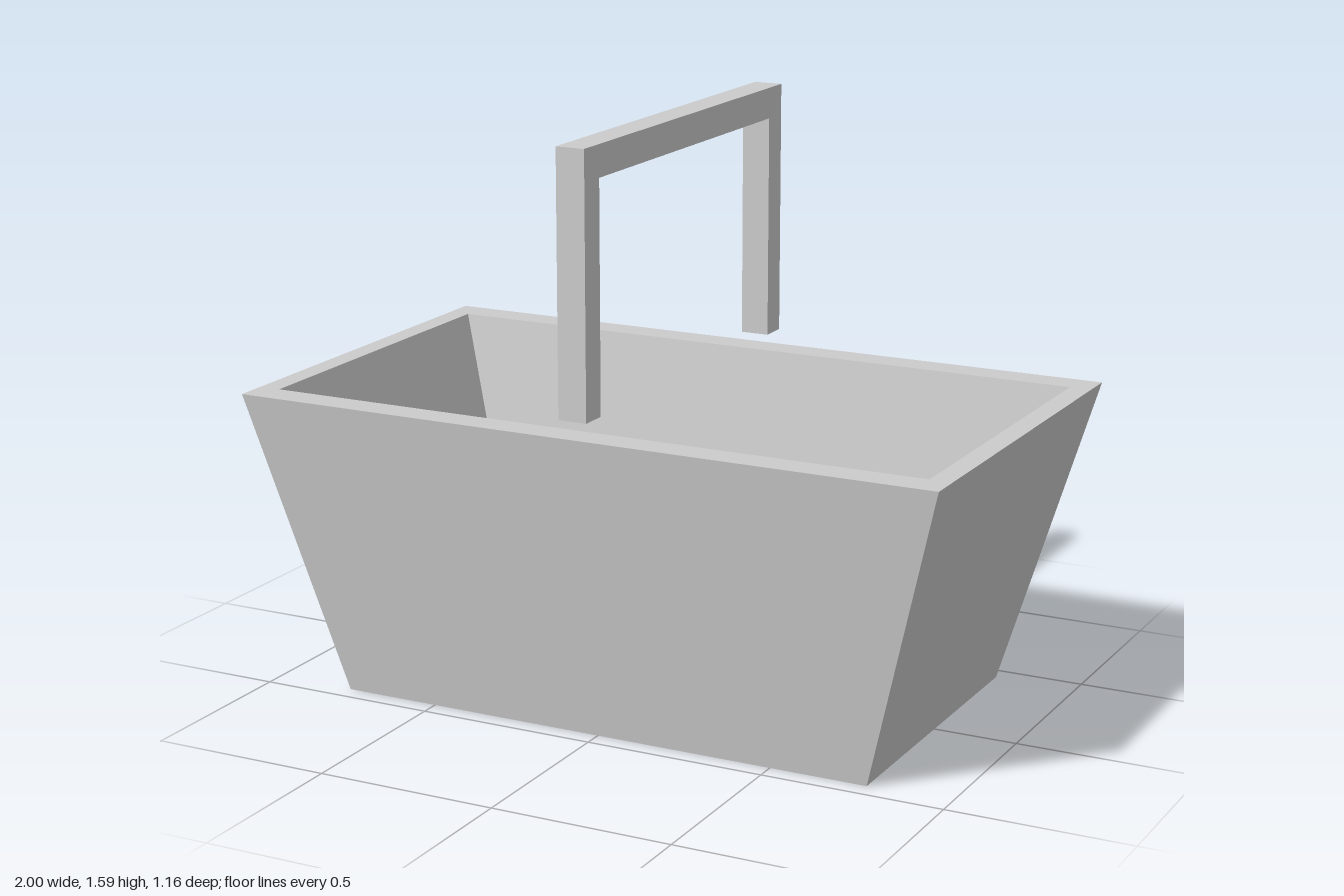
import * as THREE from 'three';

const material = new THREE.MeshStandardMaterial({ color: 0xcccccc, flatShading: true });

// Skin a series of rectangular rings [halfX, y, halfZ], flat shaded
function rectangularLoft(rings) {
  const corners = [[1, 1], [1, -1], [-1, -1], [-1, 1]];
  const positions = [];
  const point = ([hx, y, hz], i) => [hx * corners[i % 4][0], y, hz * corners[i % 4][1]];
  const quad = (a, b, c, d) => positions.push(...a, ...b, ...c, ...a, ...c, ...d);
  for (let r = 0; r < rings.length - 1; r++) {
    for (let i = 0; i < 4; i++) {
      quad(point(rings[r], i), point(rings[r], i + 1), point(rings[r + 1], i + 1), point(rings[r + 1], i));
    }
  }
  // Close the first ring downwards and the last ring upwards
  const first = rings[0], last = rings[rings.length - 1];
  quad(point(first, 3), point(first, 2), point(first, 1), point(first, 0));
  quad(point(last, 0), point(last, 1), point(last, 2), point(last, 3));
  const geometry = new THREE.BufferGeometry();
  geometry.setAttribute('position', new THREE.Float32BufferAttribute(positions, 3));
  geometry.computeVertexNormals();
  return geometry;
}

export function createModel() {
  const group = new THREE.Group();
  group.name = 'basket';

  // Tapered tub: outer wall, rim, inner wall, floor
  const tub = new THREE.Mesh(rectangularLoft([
    [0.77, 0, 0.447],
    [1.0, 0.84, 0.58],
    [0.94, 0.84, 0.493],
    [0.725, 0.09, 0.379],
  ]), material);
  tub.name = 'tub';
  group.add(tub);

  // Square-cornered arch handle, hovering just above the rim
  const outer = 0.57, inner = 0.493, bottom = 0.885, under = 1.5, top = 1.585, width = 0.08;
  const arch = new THREE.Shape([
    [-outer, bottom], [-inner, bottom], [-inner, under], [inner, under],
    [inner, bottom], [outer, bottom], [outer, top], [-outer, top],
  ].map(([x, y]) => new THREE.Vector2(x, y)));
  const handleGeometry = new THREE.ExtrudeGeometry(arch, { depth: width, bevelEnabled: false });
  handleGeometry.translate(0, 0, -width / 2).rotateY(Math.PI / 2);
  const handle = new THREE.Mesh(handleGeometry, material);
  handle.name = 'handle';
  group.add(handle);

  return group;
}
